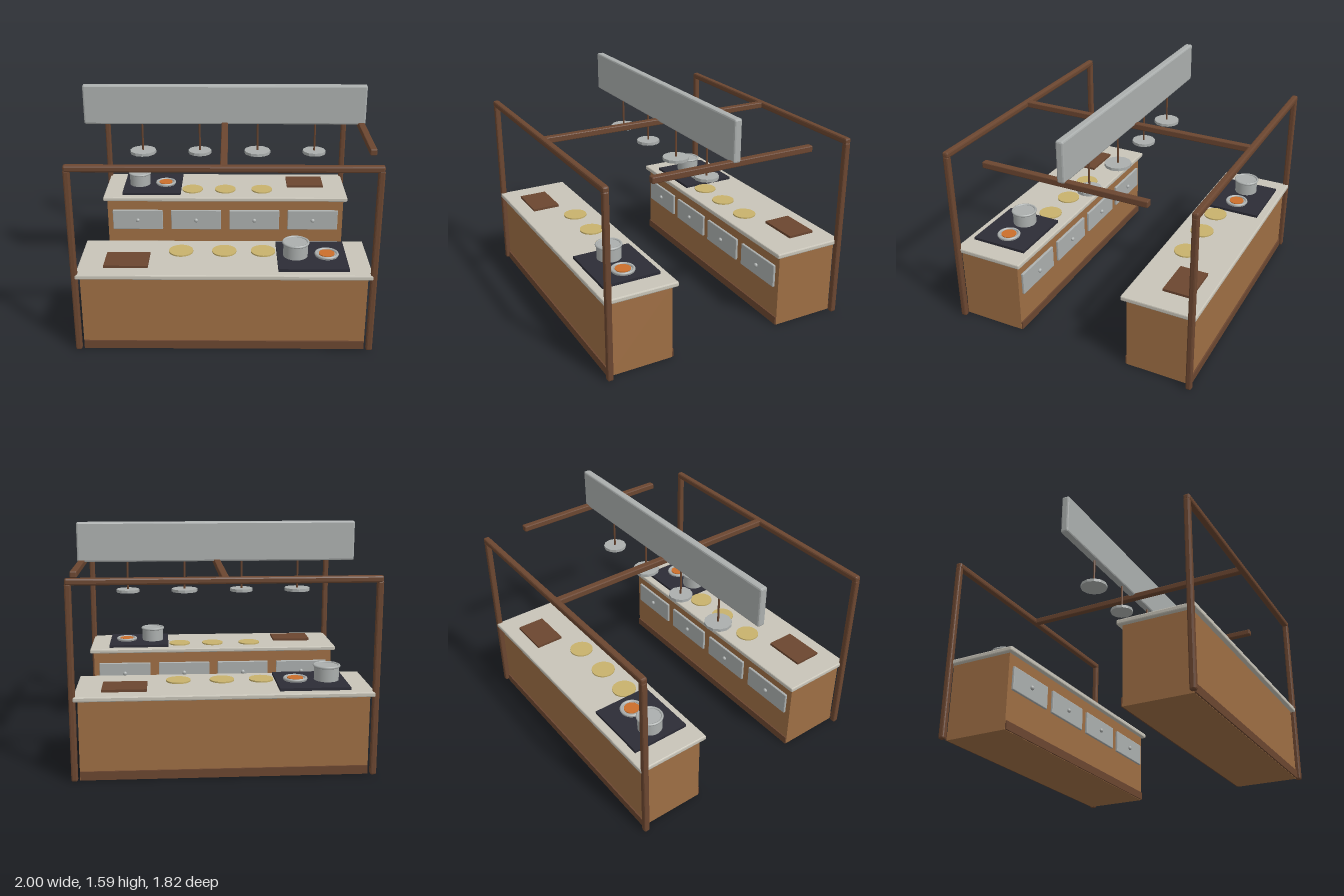
import * as THREE from 'three';
import { RoundedBoxGeometry } from 'three/addons/geometries/RoundedBoxGeometry.js';

const mat = (name, color) => {
  const m = new THREE.MeshStandardMaterial({ color });
  m.name = name;
  return m;
};

export function createModel() {
  const darkWood = mat('dark wood', 0x6b4630);
  const cabinetWood = mat('cabinet wood', 0x9e6e44);
  const stone = mat('pale stone', 0xc8c4b8);
  const steel = mat('steel', 0xabafae);
  const glass = mat('black hob', 0x2c2c36);
  const orange = mat('orange soup', 0xcb6f2b);
  const gold = mat('straw gold', 0xc8b26c);

  const root = new THREE.Group();
  root.name = 'marketKitchen';

  const add = (parent, name, geo, material, x, y, z) => {
    const m = new THREE.Mesh(geo, material);
    m.name = name;
    m.position.set(x, y, z);
    parent.add(m);
    return m;
  };
  // Box given by centre and size, with an optional softened edge
  const box = (parent, name, material, [x, y, z], [w, h, d], bevel = 0) => {
    let geo = new THREE.BoxGeometry(w, h, d);
    if (bevel) {
      geo = new RoundedBoxGeometry(w, h, d, 1, bevel);
      geo.computeVertexNormals();
    }
    return add(parent, name, geo, material, x, y, z);
  };
  const disc = (parent, name, material, [x, y, z], r, h, sides = 32) =>
    add(parent, name, new THREE.CylinderGeometry(r, r, h, sides), material, x, y, z);
  const ring = (parent, name, material, [x, y, z], r, tube) => {
    const m = add(parent, name, new THREE.TorusGeometry(r, tube, 8, 32), material, x, y, z);
    m.rotation.x = Math.PI / 2;
    return m;
  };

  // One kitchen counter facing the aisle at z = 0; the other is turned half round.
  // stoveX differs little, so pot and pan keep their place within the turn.
  const counter = (name, potX, panX, plateXs) => {
    const g = new THREE.Group();
    g.name = name;
    box(g, 'cabinet', cabinetWood, [0, 0.267, 0.6475], [1.88, 0.534, 0.46]);
    box(g, 'plinth', darkWood, [0, 0.031, 0.6475], [1.876, 0.058, 0.48]);
    box(g, 'countertop', stone, [0, 0.549, 0.6475], [1.936, 0.034, 0.524], 0.008);

    // Drawers with round knobs on the aisle side
    for (const x of [-0.7, -0.233, 0.233, 0.7]) {
      box(g, 'drawerFront', steel, [x, 0.366, 0.41], [0.4, 0.166, 0.02], 0.005);
      const knob = add(g, 'drawerKnob', new THREE.SphereGeometry(0.016, 16, 10), steel, x, 0.366, 0.393);
      knob.scale.z = 0.8;
    }

    // Hob with pot and pan
    box(g, 'hob', glass, [0.588, 0.575, 0.645], [0.464, 0.02, 0.412]);
    const pot = new THREE.Group();
    pot.name = 'pot';
    pot.position.set(potX, 0.584, 0.645);
    g.add(pot);
    disc(pot, 'potBody', steel, [0, 0.049, 0], 0.083, 0.098);
    ring(pot, 'potRim', steel, [0, 0.097, 0], 0.083, 0.009);

    const pan = new THREE.Group();
    pan.name = 'pan';
    pan.position.set(panX, 0.584, 0.645);
    g.add(pan);
    disc(pan, 'panBase', steel, [0, 0.006, 0], 0.078, 0.012);
    ring(pan, 'panRim', steel, [0, 0.012, 0], 0.072, 0.01);
    disc(pan, 'soup', orange, [0, 0.009, 0], 0.053, 0.018);

    // Plates and chopping board
    for (const x of plateXs) disc(g, 'plate', gold, [x, 0.57, 0.558], 0.083, 0.012);
    box(g, 'choppingBoard', darkWood, [-0.648, 0.574, 0.706], [0.292, 0.018, 0.2]);
    root.add(g);
    return g;
  };
  counter('frontCounter', 0.48, 0.69, [-0.295, 0, 0.265]);
  const back = counter('backCounter', 0.695, 0.485, [-0.295, 0, 0.265]);
  back.rotation.y = Math.PI;

  // Timber frame: two portals joined by a middle beam, plus a loose side beam
  const frame = new THREE.Group();
  frame.name = 'timberFrame';
  root.add(frame);
  for (const z of [-0.886, 0.886]) {
    for (const x of [-0.973, 0.973])
      box(frame, 'post', darkWood, [x, 0.645, z], [0.042, 1.29, 0.042], 0.011);
    box(frame, 'topRail', darkWood, [0, 1.298, z], [1.984, 0.045, 0.045], 0.012);
  }
  box(frame, 'middleBeam', darkWood, [0, 1.298, 0], [0.046, 0.043, 1.75], 0.006);
  box(frame, 'sideBeam', darkWood, [0.97, 1.298, 0], [0.046, 0.043, 1.175], 0.006);

  // Blank board above the aisle
  box(root, 'signBoard', steel, [0, 1.4475, 0], [2, 0.285, 0.054], 0.012);

  // Hanging lamps
  [[-0.59, 0.094], [-0.18, 0.083], [0.235, 0.094], [0.645, 0.083]].forEach(([x, r]) => {
    const lamp = new THREE.Group();
    lamp.name = 'hangingLamp';
    root.add(lamp);
    disc(lamp, 'lampRod', darkWood, [x, 1.21, 0], 0.007, 0.21, 8);
    const shade = new THREE.CylinderGeometry(r, r, 0.021, 12).toNonIndexed();
    shade.computeVertexNormals();
    add(lamp, 'lampShade', shade, steel, x, 1.095, 0);
  });

  return root;
}
